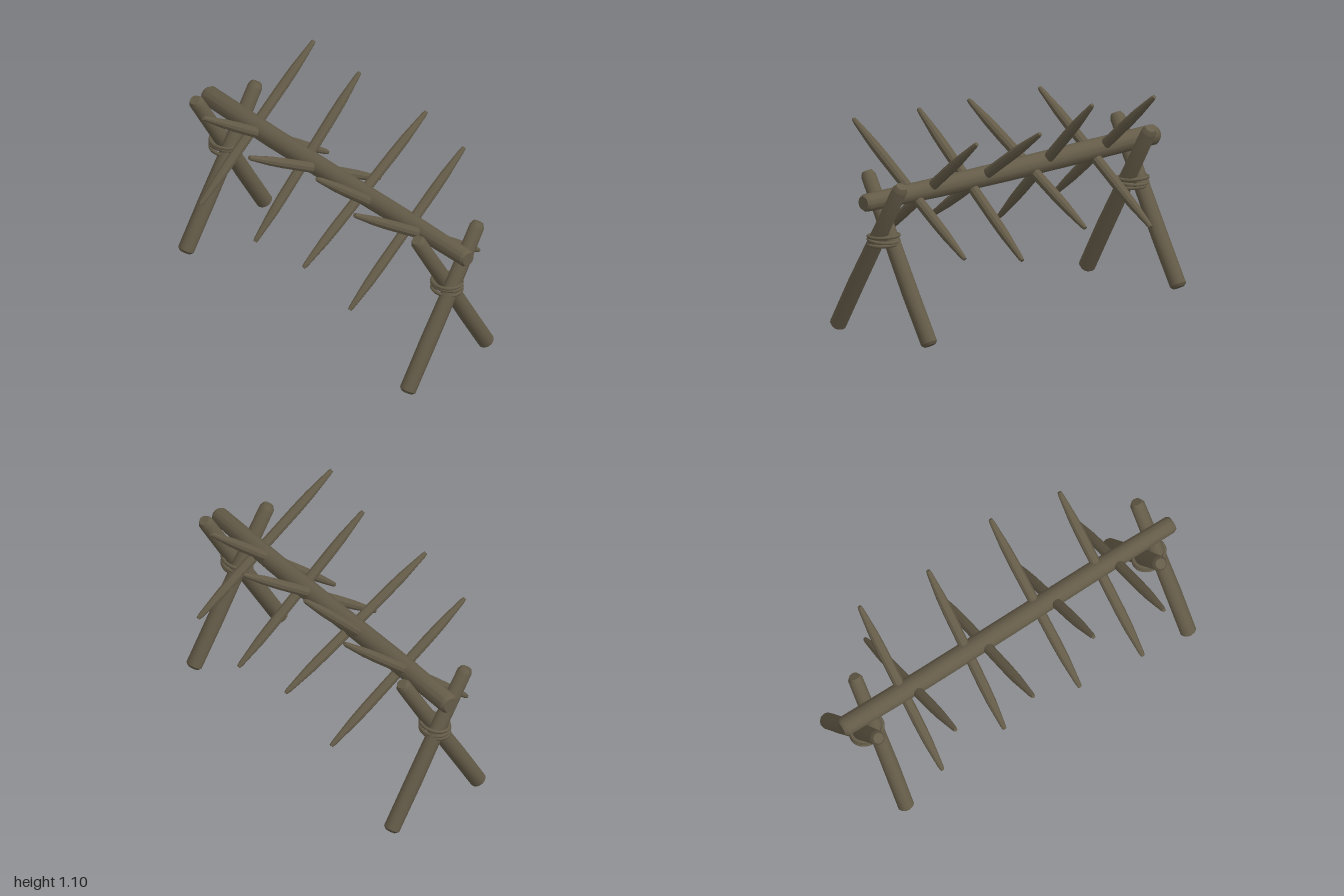
import * as THREE from 'three';
import { toCreasedNormals } from 'three/addons/utils/BufferGeometryUtils.js';

const wood = new THREE.MeshStandardMaterial({ color: 0x645b48 });
wood.name = 'weatheredWood';

// Turned pole between two points; profile rows are [radius, fraction along the pole]
function pole(name, from, to, profile, sides, wobble = 0) {
  const a = new THREE.Vector3(...from), b = new THREE.Vector3(...to);
  const dir = b.clone().sub(a), len = dir.length();
  const points = profile.map(([r, t]) => new THREE.Vector2(r, t * len));
  const geo = new THREE.LatheGeometry(points, sides);
  // gentle natural bend, zero at both ends
  const p = geo.attributes.position;
  for (let i = 0; i < p.count; i++) {
    const t = p.getY(i) / len;
    p.setX(i, p.getX(i) + wobble * Math.sin(t * Math.PI));
    p.setZ(i, p.getZ(i) + wobble * Math.sin(t * Math.PI * 2) * 0.6);
  }
  geo.applyQuaternion(new THREE.Quaternion().setFromUnitVectors(new THREE.Vector3(0, 1, 0), dir.normalize()));
  geo.translate(a.x, a.y, a.z);
  const mesh = new THREE.Mesh(toCreasedNormals(geo, 0.62), wood);
  mesh.name = name;
  return mesh;
}

// Rope turn: a closed, slightly tilted ellipse
function ropeRing(x, y, z, tiltX, tiltZ) {
  const pts = [];
  for (let i = 0; i < 16; i++) {
    const t = (i / 16) * Math.PI * 2, c = Math.cos(t), s = Math.sin(t);
    pts.push(new THREE.Vector3(x + 0.085 * c, y + tiltX * c + tiltZ * s, z + 0.067 * s));
  }
  const curve = new THREE.CatmullRomCurve3(pts, true);
  const mesh = new THREE.Mesh(new THREE.TubeGeometry(curve, 40, 0.0095, 8, true), wood);
  mesh.name = 'ropeTurn';
  return mesh;
}

export function createModel() {
  const model = new THREE.Group();
  model.name = 'spikedBarricade';

  // Horizontal beam with chamfered ends
  model.add(pole('beam', [-1, 0.745, -0.017], [1, 0.74, -0.02], [
    [0, 0], [0.04, 0], [0.053, 0.009], [0.055, 0.25], [0.054, 0.5],
    [0.052, 0.75], [0.046, 0.992], [0.036, 1], [0, 1]], 12, 0.008));

  // Crossed legs, lashed together at each end
  const legProfile = [[0, 0], [0.03, 0], [0.043, 0.014], [0.044, 0.3], [0.042, 0.6],
    [0.039, 0.975], [0.027, 1], [0, 1]];
  for (const x of [-0.85, 0.85]) {
    const trestle = new THREE.Group();
    trestle.name = x < 0 ? 'rightTrestle' : 'leftTrestle';
    trestle.add(pole('frontLeg', [x + 0.04, 0.022, 0.295], [x + 0.04, 0.84, -0.185], legProfile, 12, 0.003));
    trestle.add(pole('backLeg', [x - 0.04, 0.022, -0.31], [x - 0.04, 0.84, 0.16], legProfile, 12, 0.003));
    const lashing = new THREE.Group();
    lashing.name = 'lashing';
    lashing.add(ropeRing(x, 0.502, -0.008, 0.003, -0.003));
    lashing.add(ropeRing(x, 0.523, -0.008, 0.006, 0.005));
    lashing.add(ropeRing(x, 0.544, -0.008, 0.004, -0.004));
    trestle.add(lashing);
    model.add(trestle);
  }

  // Sharpened stakes through the beam: x, lower y, lower z, upper y, upper z
  const stakes = [
    [-0.63, 0.42, 0.35, 1.08, -0.41], [-0.57, 0.42, -0.45, 0.985, 0.38],
    [-0.24, 0.38, 0.325, 1.1, -0.375], [-0.145, 0.485, -0.425, 0.985, 0.445],
    [0.185, 0.455, 0.37, 1.04, -0.45], [0.275, 0.39, -0.415, 1.03, 0.36],
    [0.555, 0.39, 0.385, 1.04, -0.38], [0.65, 0.46, -0.395, 1.03, 0.435]];
  const stakeProfile = [[0, 0], [0.01, 0], [0.014, 0.02], [0.025, 0.17], [0.0275, 0.27],
    [0.0275, 0.73], [0.025, 0.83], [0.014, 0.98], [0.01, 1], [0, 1]];
  for (const [x, y0, z0, y1, z1] of stakes) {
    model.add(pole('stake', [x, y0, z0], [x, y1, z1], stakeProfile, 10));
  }
  return model;
}
